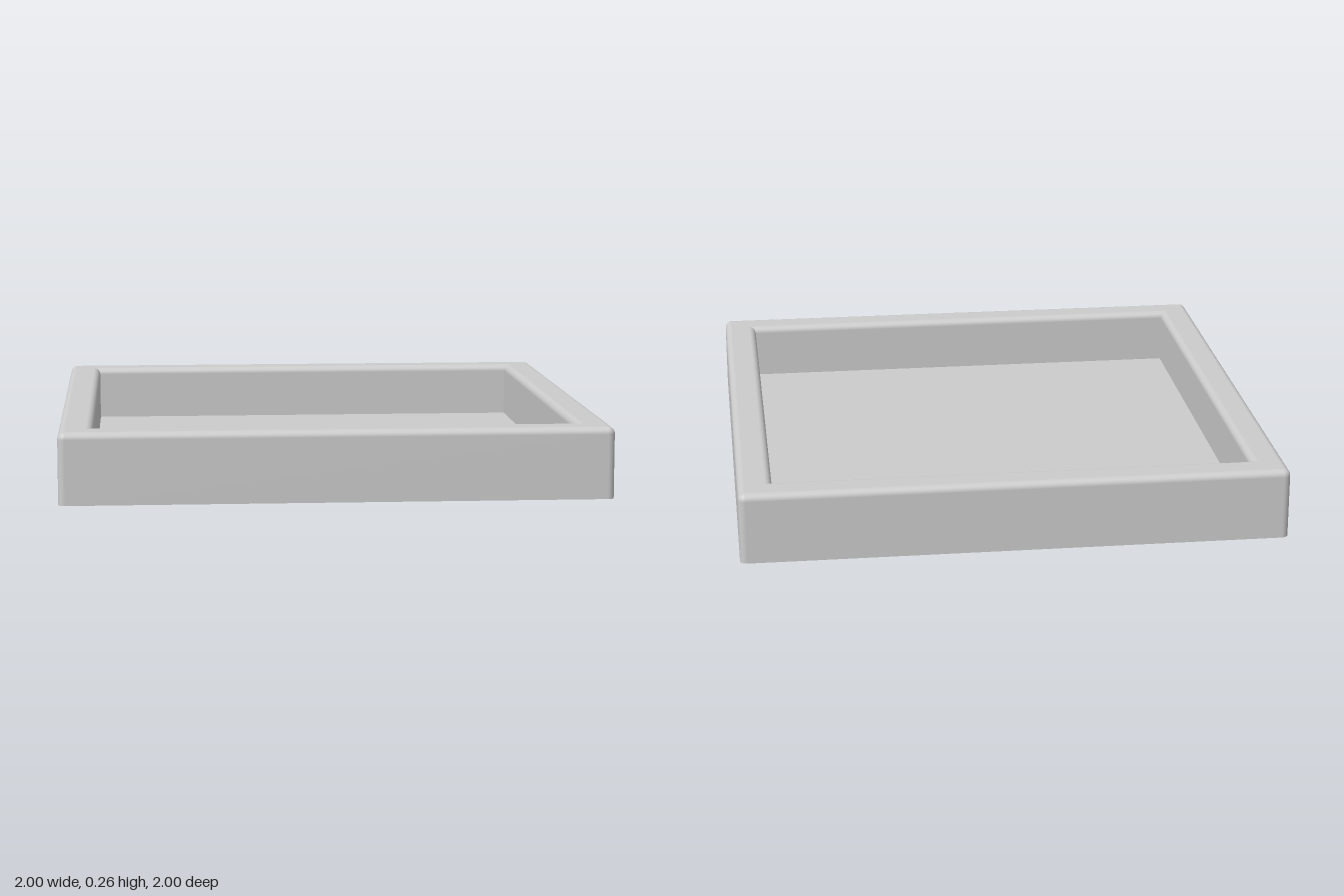
import * as THREE from 'three';

const HALF = 1, HEIGHT = 0.262, INNER = 0.875, FLOOR = 0.052, ROUND = 0.026;
const STEPS = 8;

// Cross-section from base centre, up the outside, over the rim, down to the floor centre.
// Each ring: half-width, y, corner radius, outward and upward parts of the normal.
function trayProfile() {
  const rings = [
    [0, 0, 0, 0, -1], [HALF, 0, ROUND, 0, -1], // base
    [HALF, 0, ROUND, 1, 0], // outer wall
  ];
  // Rounded outer rim edge
  for (let i = 0; i <= STEPS; i++) {
    const t = (i / STEPS) * Math.PI / 2, c = Math.cos(t), s = Math.sin(t);
    rings.push([HALF - ROUND * (1 - c), HEIGHT - ROUND * (1 - s), ROUND * c, c, s]);
  }
  // Rounded inner rim edge with mitred corners
  for (let i = 0; i <= STEPS; i++) {
    const t = (i / STEPS) * Math.PI / 2, c = Math.cos(t), s = Math.sin(t);
    rings.push([INNER + ROUND * (1 - s), HEIGHT - ROUND * (1 - c), 0, -s, c]);
  }
  rings.push(
    [INNER, FLOOR, 0, -1, 0], // inner wall
    [INNER, FLOOR, 0, 0, 1], [0, FLOOR, 0, 0, 1], // floor
  );
  return rings;
}

// Joins square rings with rounded corners into one surface
function squareSweep(rings) {
  const positions = [], normals = [], index = [];
  const count = 4 * (STEPS + 1);
  for (const [half, y, r, out, up] of rings) {
    for (let k = 0; k < 4; k++) {
      const mid = (k + 0.5) * Math.PI / 2;
      const cx = Math.sign(Math.cos(mid)) * (half - r);
      const cz = Math.sign(Math.sin(mid)) * (half - r);
      for (let i = 0; i <= STEPS; i++) {
        const a = (k + i / STEPS) * Math.PI / 2, c = Math.cos(a), s = Math.sin(a);
        // The base and floor centres have no width
        positions.push(half ? cx + r * c : 0, y, half ? cz + r * s : 0);
        normals.push(out * c, up, out * s);
      }
    }
  }
  for (let j = 0; j < rings.length - 1; j++) {
    for (let i = 0; i < count; i++) {
      const n = (i + 1) % count;
      const a = j * count + i, b = j * count + n;
      index.push(a, a + count, b, b, a + count, b + count);
    }
  }
  const geometry = new THREE.BufferGeometry();
  geometry.setAttribute('position', new THREE.Float32BufferAttribute(positions, 3));
  geometry.setAttribute('normal', new THREE.Float32BufferAttribute(normals, 3));
  geometry.setIndex(index);
  return geometry;
}

export function createModel() {
  const group = new THREE.Group();
  group.name = 'squareTray';
  const material = new THREE.MeshStandardMaterial({ color: 0xcccccc });
  const tray = new THREE.Mesh(squareSweep(trayProfile()), material);
  tray.name = 'tray';
  group.add(tray);
  return group;
}
